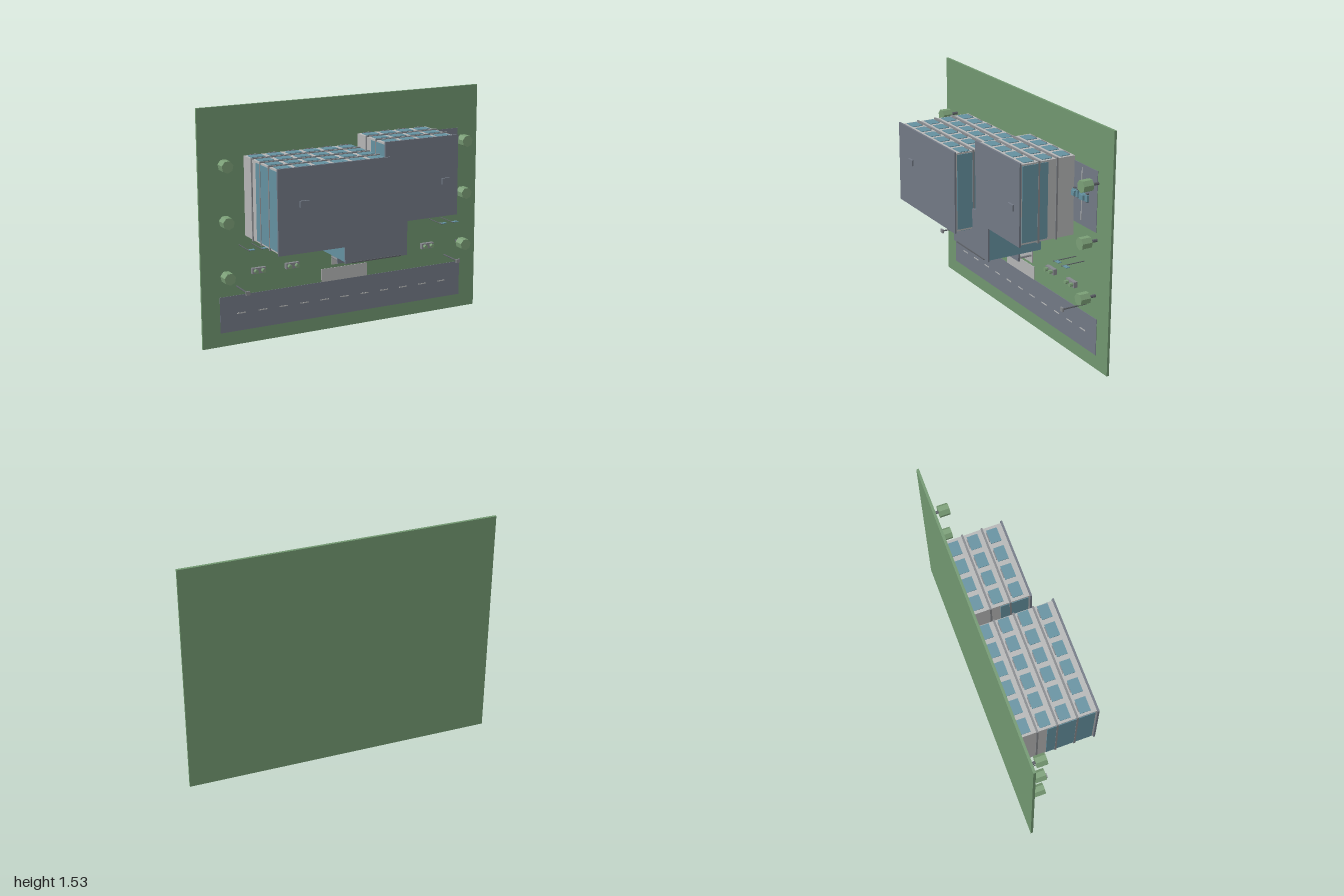
import * as THREE from 'three';

const paint = (name, color) => Object.assign(new THREE.MeshStandardMaterial({ color }), { name });

export function createModel() {
  const lawn = paint('lawn green', 0x70966f);
  const leaf = paint('leaf green', 0x7a9e76);
  const slate = paint('slate grey', 0x727985);
  const glass = paint('glass teal', 0x64909f);
  const wall = paint('wall grey', 0xb4b5b5);
  const trim = paint('trim grey', 0x85888c);
  const dark = paint('dark grey', 0x5c6066);

  const model = new THREE.Group();
  model.name = 'campusBuilding';
  const GROUND = -0.252;

  const group = (name) => {
    const g = new THREE.Group();
    g.name = name;
    model.add(g);
    return g;
  };
  // Box from its limits on each axis
  const box = (parent, name, mat, x0, x1, y0, y1, z0, z1) => {
    const m = new THREE.Mesh(new THREE.BoxGeometry(x1 - x0, y1 - y0, z1 - z0), mat);
    m.position.set((x0 + x1) / 2, (y0 + y1) / 2, (z0 + z1) / 2);
    m.name = name;
    parent.add(m);
    return m;
  };
  // Cylinder standing on the site, its axis along z
  const post = (parent, name, mat, x, y, r, z0, z1, sides = 8) => {
    const geo = new THREE.CylinderGeometry(r, r, z1 - z0, sides).toNonIndexed();
    geo.computeVertexNormals();
    geo.rotateX(Math.PI / 2);
    const m = new THREE.Mesh(geo, mat);
    m.position.set(x, y, (z0 + z1) / 2);
    m.name = name;
    parent.add(m);
  };

  // Site slab, road, path and parking
  const site = group('site');
  box(site, 'lawn', lawn, -1, 1, 0, 1.53, -0.268, GROUND);
  box(site, 'road', slate, -0.88, 0.88, 0.09, 0.325, GROUND, GROUND + 0.003);
  for (let i = -5; i <= 5; i++) {
    const x = i * 0.147;
    box(site, 'roadDash', wall, x - 0.03, x + 0.03, 0.202, 0.209, GROUND, GROUND + 0.005);
  }
  box(site, 'entrancePath', wall, -0.17, 0.165, 0.325, 0.412, GROUND, GROUND + 0.004);
  box(site, 'parkingLot', slate, 0.59, 0.85, 0.87, 1.25, GROUND, GROUND + 0.003);
  box(site, 'parkingLine', wall, 0.686, 0.692, 0.9, 1.23, GROUND, GROUND + 0.005);

  // Office wing: walls, floor bands, window rows, glazed ends and flat roof
  const wing = (name, x0, x1, y0, y1, floors, columns, firstWindow) => {
    const g = group(name);
    const step = 0.1255;
    const top = GROUND + floors * step;
    box(g, 'walls', wall, x0, x1, y0, y1, GROUND, top);
    for (let f = 0; f < floors; f++) {
      const z = GROUND + f * step;
      if (f > 0) box(g, 'floorBand', trim, x0 - 0.006, x1 + 0.006, y0 - 0.007, y1 + 0.007, z - 0.006, z + 0.006);
      for (let c = 0; c < columns; c++) {
        const x = firstWindow + c * 0.1255;
        for (const [side, y] of [[1, y1], [-1, y0]]) {
          const span = (d) => side > 0 ? [y, y + d] : [y - d, y];
          box(g, 'window', glass, x - 0.046, x + 0.046, ...span(0.004), z + 0.022, z + 0.09);
          box(g, 'windowSill', trim, x - 0.03, x + 0.03, ...span(0.008), z + 0.016, z + 0.021);
        }
      }
    }
    const glazeBase = GROUND + 1.5 * step;
    box(g, 'endGlazing', glass, x1, x1 + 0.004, y0 + 0.012, y1 - 0.01, glazeBase, top - 0.012);
    box(g, 'endGlazing', glass, x0 - 0.004, x0, y0 + 0.012, y1 - 0.01, glazeBase, top - 0.012);
    box(g, 'roof', slate, x0 - 0.009, x1 + 0.009, y0 - 0.009, y1 + 0.011, top - 0.002, top + 0.01);
    return [g, top + 0.01];
  };
  const [tall, tallTop] = wing('tallWing', -0.697, 0.043, 0.705, 1.213, 4, 6, -0.635);
  box(tall, 'roofHatch', slate, -0.565, -0.505, 0.98, 1.02, tallTop, tallTop + 0.012);
  const [low, lowTop] = wing('lowWing', 0.096, 0.605, 0.779, 1.279, 3, 4, 0.163);
  box(low, 'roofHatch', slate, 0.495, 0.555, 0.98, 1.02, lowTop, lowTop + 0.012);

  // Glazed lobby joining the wings
  const lobby = group('lobby');
  box(lobby, 'lobbyGlass', glass, -0.19, 0.24, 0.556, 0.835, GROUND, 0.123);
  box(lobby, 'lobbyRoof', slate, -0.196, 0.246, 0.549, 0.84, 0.123, 0.1345);
  box(lobby, 'roofEdge', dark, -0.15, 0.2, 0.549, 0.556, 0.1345, 0.14);
  box(lobby, 'entranceCanopy', slate, -0.11, 0.16, 0.47, 0.556, -0.146, -0.134);
  for (const x of [-0.09, 0.14]) post(lobby, 'canopyColumn', trim, x, 0.485, 0.007, GROUND, -0.146);
  box(lobby, 'entranceStep', wall, -0.095, 0.148, 0.435, 0.556, GROUND, GROUND + 0.01);

  // Trees, lamps, flags and planters on both sides
  for (const s of [-1, 1]) {
    for (const y of [0.472, 0.825, 1.178]) {
      const tree = group('tree');
      post(tree, 'trunk', dark, s * 0.855, y, 0.01, GROUND, -0.19);
      post(tree, 'crown', leaf, s * 0.855, y, 0.039, -0.198, -0.13, 7);
    }
    const lamp = group('streetLamp');
    post(lamp, 'lampPole', dark, s * 0.762, 0.384, 0.005, GROUND, -0.084);
    box(lamp, 'lampHead', trim, s * 0.762 - 0.014, s * 0.762 + 0.014, 0.372, 0.397, -0.085, -0.073);

    for (const x of s > 0 ? [0.64, 0.73] : [-0.74, -0.655]) {
      const flag = group('flag');
      post(flag, 'flagPole', dark, x, 0.65, 0.003, GROUND, -0.088);
      box(flag, 'flagCloth', glass, x, x + 0.042, 0.648, 0.652, -0.122, -0.096);
    }
    for (const x of [0.383, 0.617]) {
      const planter = group('planter');
      box(planter, 'planterBox', trim, s * x - 0.046, s * x + 0.046, 0.453, 0.49, GROUND, -0.228);
      for (const d of [-0.025, 0.025]) post(planter, 'shrub', leaf, s * x + d, 0.472, 0.013, -0.228, -0.205);
    }
  }

  // Parked cars
  for (const [x, length] of [[0.613, 0.062], [0.69, 0.085]]) {
    const car = group('car');
    box(car, 'carBody', glass, x, x + length, 1.04, 1.082, GROUND + 0.008, -0.228);
    box(car, 'carCabin', glass, x + length * 0.2, x + length * 0.7, 1.045, 1.077, -0.228, -0.214);
    for (const u of [0.2, 0.8]) {
      const w = x + length * u;
      box(car, 'axleWheels', dark, w - 0.008, w + 0.008, 1.033, 1.089, GROUND + 0.002, GROUND + 0.018);
    }
  }
  return model;
}
